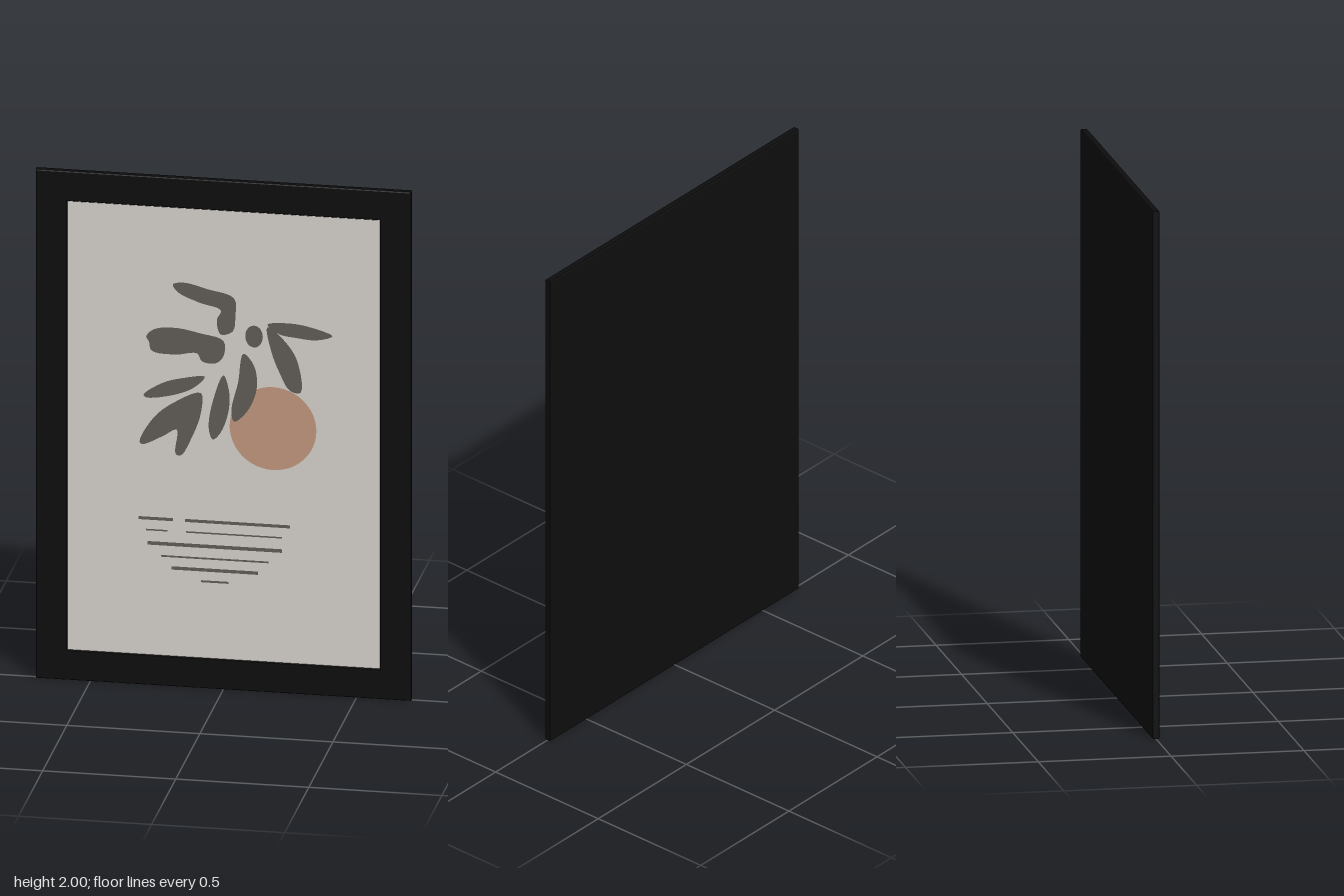
import * as THREE from 'three';

const mat = (name, color) => new THREE.MeshStandardMaterial({ name, color });

// Rectangular moulding: a profile of [inset, z] swept round four mitred corners.
function frameGeometry(halfW, height, profile) {
  const ring = ([i, z]) => [
    [-halfW + i, i, z], [halfW - i, i, z], [halfW - i, height - i, z], [-halfW + i, height - i, z],
  ];
  const pos = [];
  for (let p = 0; p < profile.length - 1; p++) {
    const a = ring(profile[p]), b = ring(profile[p + 1]);
    for (let k = 0; k < 4; k++) {
      const n = (k + 1) % 4;
      pos.push(...a[k], ...a[n], ...b[n], ...a[k], ...b[n], ...b[k]);
    }
  }
  const g = new THREE.BufferGeometry();
  g.setAttribute('position', new THREE.Float32BufferAttribute(pos, 3));
  g.computeVertexNormals();
  return g;
}

// Smooth closed outline through a few points.
function blob(points) {
  const curve = new THREE.CatmullRomCurve3(
    points.map(([x, y]) => new THREE.Vector3(x, y, 0)), true, 'centripetal');
  return new THREE.ShapeGeometry(new THREE.Shape(
    curve.getPoints(points.length * 5).slice(0, -1).map((v) => new THREE.Vector2(v.x, v.y))));
}

const LEAVES = {
  topLeaf: [[-.19, 1.58], [-.15, 1.59], [-.06, 1.57], [.04, 1.54], [.045, 1.47], [.035, 1.41],
    [-.01, 1.395], [-.025, 1.45], [-.01, 1.49], [-.09, 1.515], [-.17, 1.55]],
  upperLeftLeaf: [[-.29, 1.37], [-.26, 1.4], [-.18, 1.41], [-.09, 1.395], [0, 1.37], [0, 1.31],
    [-.03, 1.28], [-.08, 1.285], [-.1, 1.315], [-.18, 1.305], [-.27, 1.315], [-.28, 1.35]],
  middleLeftLeaf: [[-.3, 1.14], [-.23, 1.19], [-.15, 1.215], [-.07, 1.225], [-.11, 1.18],
    [-.19, 1.145], [-.29, 1.13]],
  forkedLeaf: [[-.315, .955], [-.26, 1.055], [-.18, 1.12], [-.085, 1.16], [-.085, 1.08],
    [-.12, .98], [-.16, .91], [-.18, .915], [-.175, 1.01], [-.23, .98], [-.305, .945]],
  lowerLeaf: [[0, 1.235], [.02, 1.18], [.02, 1.1], [-.01, 1.01], [-.04, .98], [-.055, 1.02], [-.045, 1.11]],
  centreLeaf: [[.075, 1.325], [.115, 1.28], [.125, 1.19], [.09, 1.1], [.04, 1.055], [.03, 1.1], [.055, 1.21]],
  rightLeaf: [[.165, 1.445], [.245, 1.455], [.325, 1.445], [.41, 1.415], [.35, 1.395], [.27, 1.4], [.21, 1.41]],
  lowerRightLeaf: [[.165, 1.435], [.22, 1.395], [.275, 1.315], [.29, 1.185], [.25, 1.19], [.21, 1.26], [.18, 1.34]],
};

// Ripples under the branch: [y, x start, x end, thickness]
const LINES = [
  [.655, -.32, -.19, .012], [.655, -.145, .25, .012],
  [.61, -.29, -.21, .006], [.61, -.14, .22, .006],
  [.558, -.285, .22, .014], [.51, -.235, .17, .007],
  [.465, -.195, .13, .013], [.42, -.085, .02, .008],
];

export function createModel() {
  const black = mat('frame black', 0x0d0d0d);
  const paper = mat('paper', 0xd5d0ca);
  const ink = mat('ink grey', 0x605c58);
  const clay = mat('clay orange', 0xc1967e);

  const model = new THREE.Group();
  model.name = 'framedPrint';
  const add = (parent, name, geometry, material, x = 0, y = 0, z = 0) => {
    const mesh = new THREE.Mesh(geometry, material);
    mesh.name = name;
    mesh.position.set(x, y, z);
    parent.add(mesh);
    return mesh;
  };

  // Frame with small outer chamfer and shallow inner lip
  add(model, 'frame', frameGeometry(.705, 2, [
    [.004, -.0135], [0, -.011], [0, .011], [.004, .0135], [.115, .0135], [.118, .008],
  ]), black);

  // Backing board closes the rear
  const back = add(model, 'backBoard', new THREE.PlaneGeometry(1.402, 1.992), black, 0, 1, -.0135);
  back.rotation.y = Math.PI;

  // Paper and printed artwork
  add(model, 'paper', new THREE.PlaneGeometry(1.174, 1.764), paper, 0, 1, .009);
  const art = new THREE.Group();
  art.name = 'artwork';
  model.add(art);
  add(art, 'sun', new THREE.CircleGeometry(.163, 48), clay, .186, 1.037, .0105);
  for (const [name, points] of Object.entries(LEAVES)) add(art, name, blob(points), ink, 0, 0, .012);
  add(art, 'bud', new THREE.CircleGeometry(1, 24), ink, .115, 1.395, .012).scale.set(.033, .043, 1);
  LINES.forEach(([y, x0, x1, t], i) =>
    add(art, `rippleLine${i + 1}`, new THREE.PlaneGeometry(x1 - x0, t), ink, (x0 + x1) / 2, y, .012));

  return model;
}
